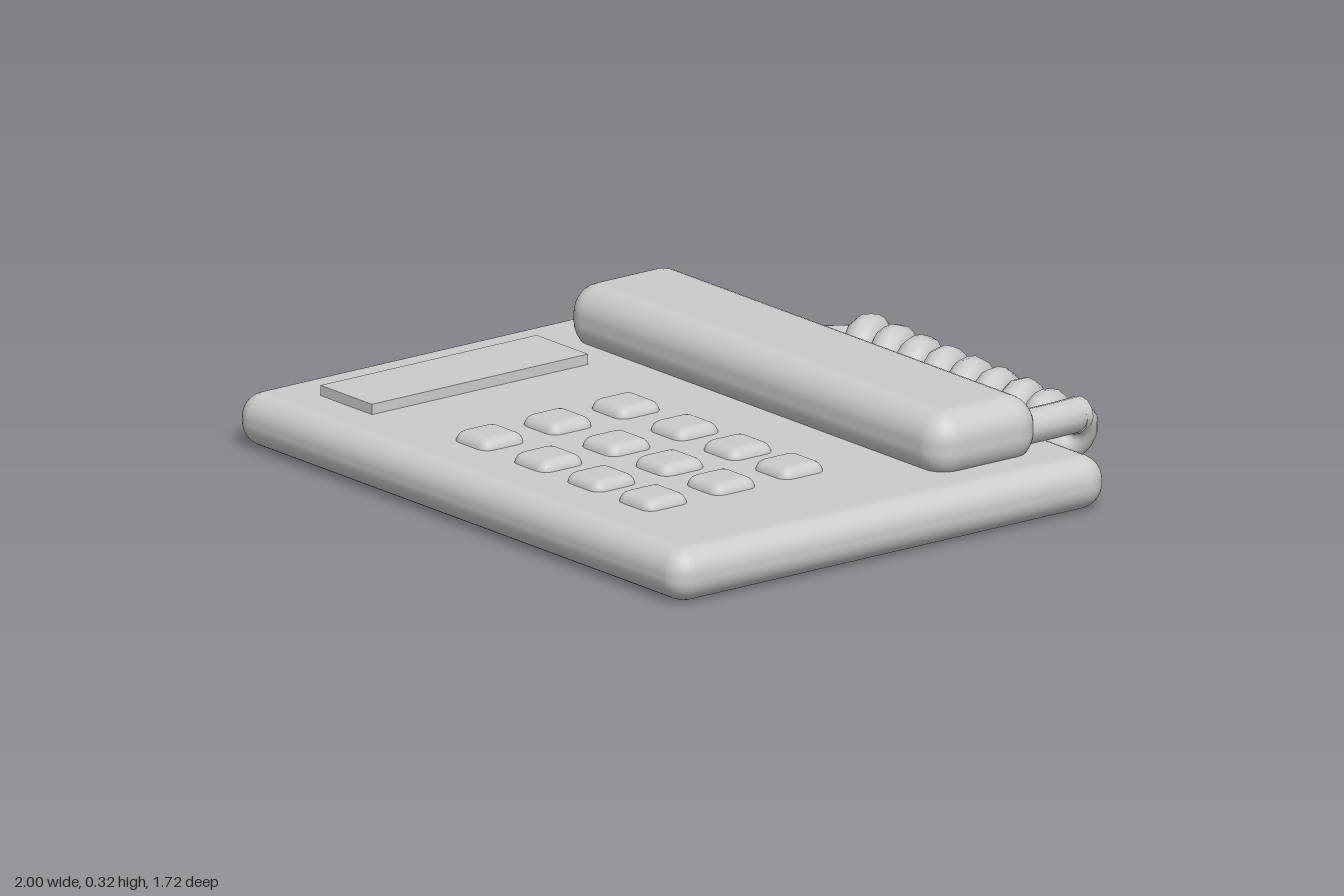
import * as THREE from 'three';
import { RoundedBoxGeometry } from 'three/addons/geometries/RoundedBoxGeometry.js';

const material = new THREE.MeshStandardMaterial({ color: 0xcccccc });
const CORD_RADIUS = 0.05;

function addMesh(parent, name, geometry, x = 0, y = 0, z = 0) {
  const mesh = new THREE.Mesh(geometry, material);
  mesh.name = name;
  mesh.position.set(x, y, z);
  parent.add(mesh);
  return mesh;
}

// Rounded box given by its limits on each axis
function addRoundedBox(parent, name, [x0, x1], [y0, y1], [z0, z1], radius, segments = 4) {
  const geometry = new RoundedBoxGeometry(x1 - x0, y1 - y0, z1 - z0, segments, radius);
  return addMesh(parent, name, geometry, (x0 + x1) / 2, (y0 + y1) / 2, (z0 + z1) / 2);
}

// Round cord along a curve, closed with a flat disc at each end
function addCord(parent, name, curve, segments) {
  addMesh(parent, name, new THREE.TubeGeometry(curve, segments, CORD_RADIUS, 12, false));
  for (const t of [0, 1]) {
    const end = curve.getPointAt(t);
    const outward = curve.getTangentAt(t).multiplyScalar(t ? 1 : -1);
    const cap = addMesh(parent, name + 'End', new THREE.CircleGeometry(CORD_RADIUS, 12), end.x, end.y, end.z);
    cap.quaternion.setFromUnitVectors(new THREE.Vector3(0, 0, 1), outward);
  }
}

// Helix running along x, starting at the back and passing over the top
class CoilCurve extends THREE.Curve {
  getPoint(t, target = new THREE.Vector3()) {
    const angle = t * 8.25 * Math.PI * 2;
    return target.set(
      -0.235 + 1.02 * t,
      0.16 + 0.05 * Math.sin(angle),
      -0.765 + 0.062 * t - 0.05 * Math.cos(angle)
    );
  }
}

export function createModel() {
  const phone = new THREE.Group();
  phone.name = 'deskPhone';

  // Body and handset
  addRoundedBox(phone, 'base', [-1, 1], [0, 0.155], [-0.675, 0.86], 0.072);
  addRoundedBox(phone, 'handset', [-0.82, 0.865], [0.125, 0.32], [-0.545, -0.165], 0.085);

  // Flat label panel beside the keys
  addMesh(phone, 'labelPanel', new THREE.BoxGeometry(0.23, 0.06, 0.765), -0.695, 0.155, 0.3125);

  // Keypad
  const keypad = new THREE.Group();
  keypad.name = 'keypad';
  phone.add(keypad);
  const half = 0.077;
  for (const z of [0.112, 0.353, 0.594]) {
    for (const x of [-0.182, 0.08, 0.317, 0.548]) {
      addRoundedBox(keypad, 'key', [x - half, x + half], [0.105, 0.185], [z - half, z + half], 0.035, 3);
    }
  }

  // Coiled cord with a lead at each end
  const cord = new THREE.Group();
  cord.name = 'cord';
  phone.add(cord);
  addCord(cord, 'coil', new CoilCurve(), 100);
  addCord(cord, 'baseLead', new THREE.CatmullRomCurve3([
    new THREE.Vector3(-0.41, 0.145, -0.62),
    new THREE.Vector3(-0.34, 0.15, -0.73),
    new THREE.Vector3(-0.235, 0.16, -0.815),
  ]), 12);
  addCord(cord, 'handsetLead', new THREE.CatmullRomCurve3([
    new THREE.Vector3(0.778, 0.213, -0.738),
    new THREE.Vector3(0.79, 0.215, -0.64),
    new THREE.Vector3(0.79, 0.215, -0.5),
  ]), 10);

  return phone;
}
